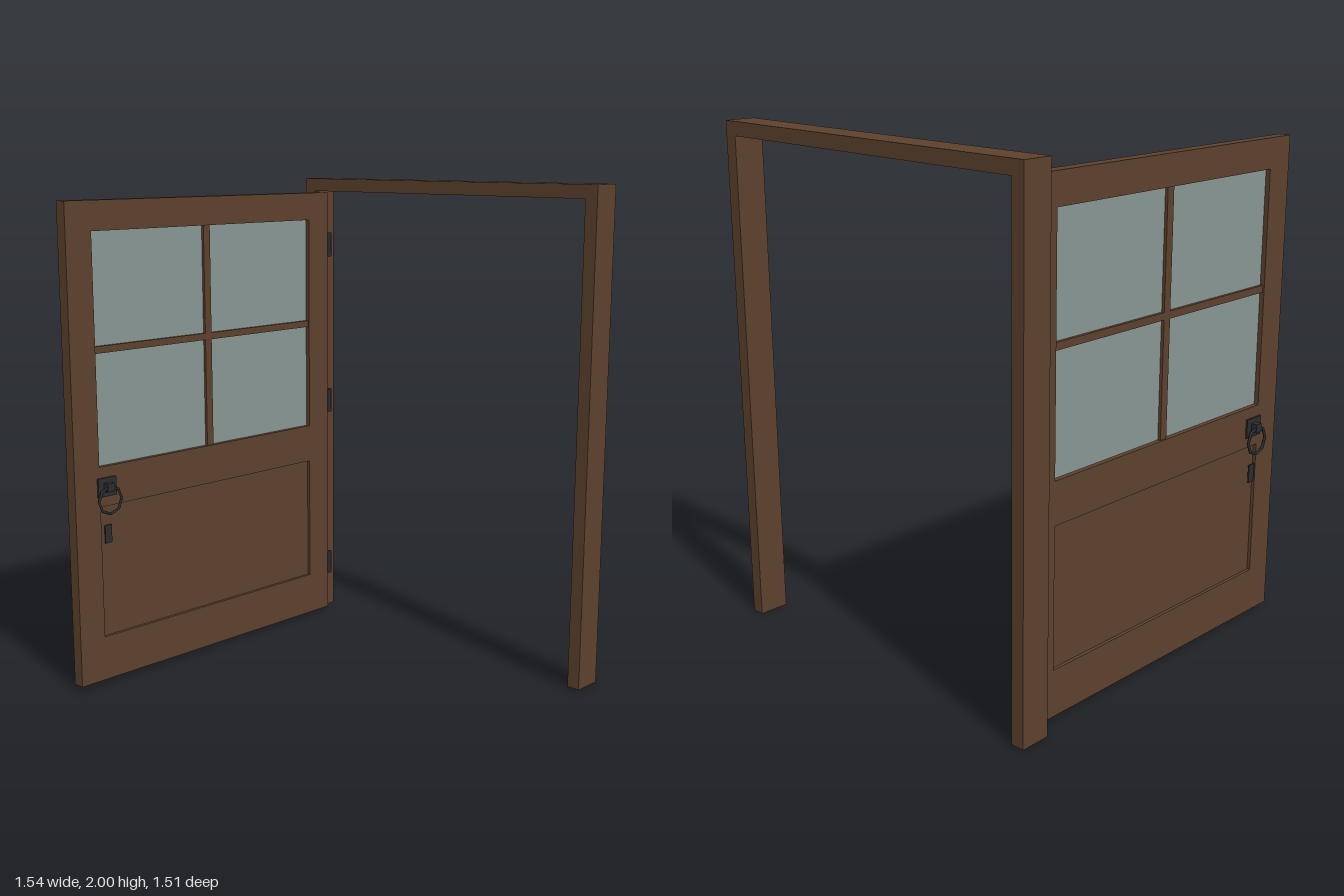
import * as THREE from 'three';

export function createModel() {
  const model = new THREE.Group();
  model.name = 'openDoorWithFrame';

  const material = (name, color) => {
    const m = new THREE.MeshStandardMaterial({ color });
    m.name = name;
    return m;
  };
  const wood = material('brownWood', 0x5c412d);
  const glass = material('greyGlass', 0x889693);
  const iron = material('blackIron', 0x2a2c2e);

  // Box given by its limits on each axis
  const box = (parent, name, mat, [x0, x1], [y0, y1], [z0, z1]) => {
    const mesh = new THREE.Mesh(new THREE.BoxGeometry(x1 - x0, y1 - y0, z1 - z0), mat);
    mesh.position.set((x0 + x1) / 2, (y0 + y1) / 2, (z0 + z1) / 2);
    mesh.name = name;
    parent.add(mesh);
    return mesh;
  };

  // Door frame
  const frame = new THREE.Group();
  frame.name = 'doorFrame';
  model.add(frame);
  const frameZ = [-0.755, -0.633];
  box(frame, 'rightJamb', wood, [-0.77, -0.716], [0, 1.946], frameZ);
  box(frame, 'leftJamb', wood, [0.716, 0.77], [0, 1.946], frameZ);
  box(frame, 'lintel', wood, [-0.77, 0.77], [1.946, 2], frameZ);

  // Door leaf, swung open at a right angle; local x = 0 is its middle plane
  const door = new THREE.Group();
  door.name = 'door';
  door.position.x = -0.685;
  model.add(door);
  const slab = (h) => [-h, h];
  const T = 0.025;
  const inner = [-0.54, 0.635];
  box(door, 'hingeStile', wood, slab(T), [0.014, 1.94], [-0.66, -0.54]);
  box(door, 'latchStile', wood, slab(T), [0.014, 1.94], [0.635, 0.755]);
  box(door, 'bottomRail', wood, slab(T), [0.014, 0.196], inner);
  box(door, 'middleRail', wood, slab(T), [0.737, 0.9], inner);
  box(door, 'topRail', wood, slab(T), [1.823, 1.94], inner);
  box(door, 'lowerPanel', wood, slab(0.012), [0.196, 0.737], inner);
  box(door, 'windowPane', glass, slab(0.006), [0.9, 1.823], inner);
  box(door, 'verticalGlazingBar', wood, slab(0.018), [0.9, 1.823], [0.031, 0.065]);
  for (const [a, b] of [[inner[0], 0.031], [0.065, inner[1]]]) {
    box(door, 'horizontalGlazingBar', wood, slab(0.018), [1.35, 1.378], [a, b]);
  }

  // Ring handle and keyhole plate on both faces
  for (const side of [1, -1]) {
    const handle = new THREE.Group();
    handle.name = side > 0 ? 'innerHandle' : 'outerHandle';
    door.add(handle);
    const out = (a, b) => (side > 0 ? [a, b] : [-b, -a]);
    box(handle, 'handlePlate', iron, out(T, T + 0.007), [0.778, 0.855], [0.558, 0.648]);
    box(handle, 'keyholePlate', iron, out(T, T + 0.005), [0.586, 0.66], [0.587, 0.62]);
    box(handle, 'ringHolder', iron, out(T, 0.056), [0.8, 0.835], [0.586, 0.62]);
    const ring = new THREE.Mesh(new THREE.TorusGeometry(0.056, 0.006, 6, 8), iron);
    ring.name = 'pullRing';
    ring.rotation.y = Math.PI / 2;
    ring.position.set(side * 0.048, 0.765, 0.603);
    handle.add(ring);
  }

  // Hinges along the back edge of the door
  for (const y of [0.232, 1.003, 1.71]) {
    const hinge = new THREE.Group();
    hinge.name = 'hinge';
    hinge.position.set(-0.659, y, -0.667);
    const barrel = new THREE.Mesh(new THREE.CylinderGeometry(0.01, 0.01, 0.105, 8), iron);
    barrel.name = 'hingeBarrel';
    hinge.add(barrel);
    box(hinge, 'hingeLeaf', iron, [-0.045, 0], [-0.05, 0.05], [0.003, 0.007]);
    model.add(hinge);
  }

  return model;
}
